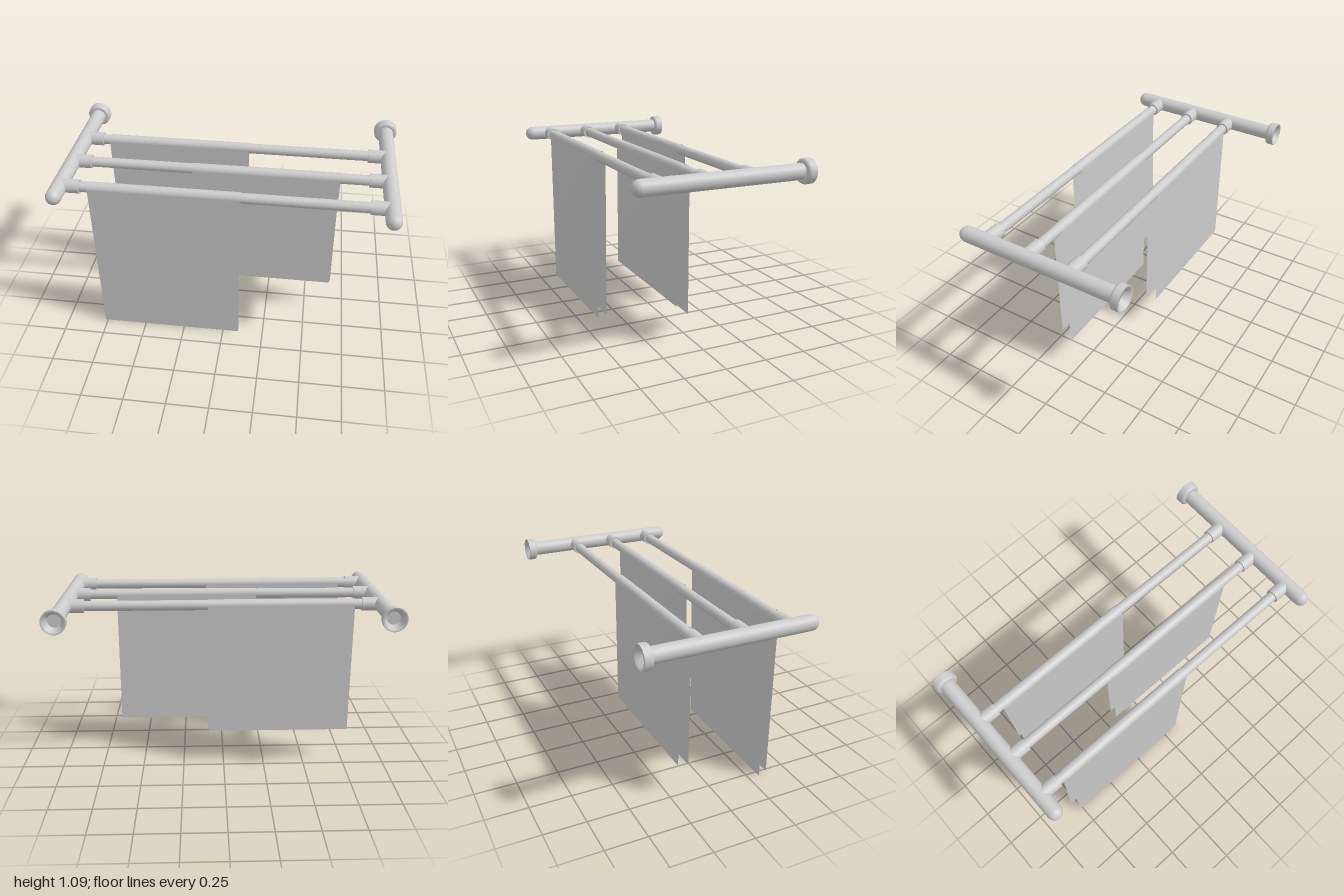
import * as THREE from 'three';

const RAIL_Y = 1.015, ARM_X = 0.93;
const metal = new THREE.MeshStandardMaterial({ color: 0xcccccc });
const metalOpen = new THREE.MeshStandardMaterial({ color: 0xcccccc, side: THREE.DoubleSide });
const cloth = new THREE.MeshStandardMaterial({ color: 0xcccccc, side: THREE.DoubleSide });

function add(parent, name, geometry, material = metal) {
  const mesh = new THREE.Mesh(geometry, material);
  mesh.name = name;
  parent.add(mesh);
  return mesh;
}

const pts = list => list.map(([r, h]) => new THREE.Vector2(r, h));

// Cylinder lying along x between two positions
function barX(x0, x1, radius) {
  return new THREE.CylinderGeometry(radius, radius, Math.abs(x1 - x0), 32)
    .rotateZ(Math.PI / 2).translate((x0 + x1) / 2, 0, 0);
}

// Arm with a domed front end, lying along z
function armGeometry(r, back, front) {
  const profile = [[0, back], [r, back], [r, back]];
  for (let i = 0; i <= 10; i++) {
    const a = (i / 10) * Math.PI / 2;
    profile.push([Math.max(0, r * Math.cos(a)), front - r + r * Math.sin(a)]);
  }
  return new THREE.LatheGeometry(pts(profile), 32).rotateX(Math.PI / 2);
}

// Wall flange with a rounded front edge and a hollow back
function flangeGeometry() {
  const profile = [[0.036, -0.47], [0.045, -0.495], [0.052, -0.495], [0.056, -0.515], [0.07, -0.515], [0.07, -0.515], [0.07, -0.485]];
  for (let i = 1; i <= 6; i++) {
    const a = (i / 6) * Math.PI / 2;
    profile.push([0.052 + 0.018 * Math.cos(a), -0.48 + 0.018 * Math.sin(a)]);
  }
  profile.push([0.04, -0.462]);
  return new THREE.LatheGeometry(pts(profile), 32).rotateX(Math.PI / 2);
}

// Thin sheet folded over a rail: front panel, half turn, back panel
function towelGeometry({ x0, x1, frontY, backY, frontShift, backShift }) {
  const r = 0.033, turn = 16;
  const section = [[r, frontY - RAIL_Y, frontShift]];
  for (let i = 0; i <= turn; i++) {
    const a = (i / turn) * Math.PI;
    section.push([r * Math.cos(a), r * Math.sin(a), 0]);
  }
  section.push([-r, backY - RAIL_Y, backShift]);
  const g = new THREE.PlaneGeometry(1, 1, 1, section.length - 1);
  const p = g.attributes.position;
  for (let i = 0; i < p.count; i++) {
    const [z, y, shift] = section[section.length - 1 - Math.floor(i / 2)];
    p.setXYZ(i, (i % 2 ? x1 : x0) + shift, y, z);
  }
  // rows run from the back hem up and over to the front hem
  g.computeVertexNormals();
  return g;
}

export function createModel() {
  const root = new THREE.Group();
  root.name = 'towelRack';

  // Side arms with wall flanges
  for (const [side, s] of [['left', 1], ['right', -1]]) {
    const arm = new THREE.Group();
    arm.name = side + 'Arm';
    arm.position.set(s * ARM_X, RAIL_Y, 0);
    add(arm, side + 'ArmTube', armGeometry(0.045, -0.475, 0.512));
    add(arm, side + 'WallFlange', flangeGeometry(), metalOpen);
    root.add(arm);
  }

  // Three rails, each with end sockets and a towel
  const rails = [
    { name: 'back', z: -0.18, x0: -0.77, x1: 0.09, frontY: 0.2, backY: 0.215, frontShift: 0.005, backShift: 0 },
    { name: 'middle', z: 0.085, x0: -0.21, x1: 0.648, frontY: 0.24, backY: 0.19, frontShift: -0.004, backShift: 0.008 },
    { name: 'front', z: 0.35, x0: -0.765, x1: 0.098, frontY: 0, backY: 0, frontShift: 0, backShift: -0.027 },
  ];
  for (const spec of rails) {
    const rail = new THREE.Group();
    rail.name = spec.name + 'Rail';
    rail.position.set(0, RAIL_Y, spec.z);
    add(rail, spec.name + 'RailBar', barX(-0.83, 0.83, 0.03));
    for (const s of [1, -1]) {
      add(rail, spec.name + (s > 0 ? 'LeftSocket' : 'RightSocket'), barX(s * 0.813, s * ARM_X, 0.04));
    }
    add(rail, spec.name + 'Towel', towelGeometry(spec), cloth);
    root.add(rail);
  }
  return root;
}
